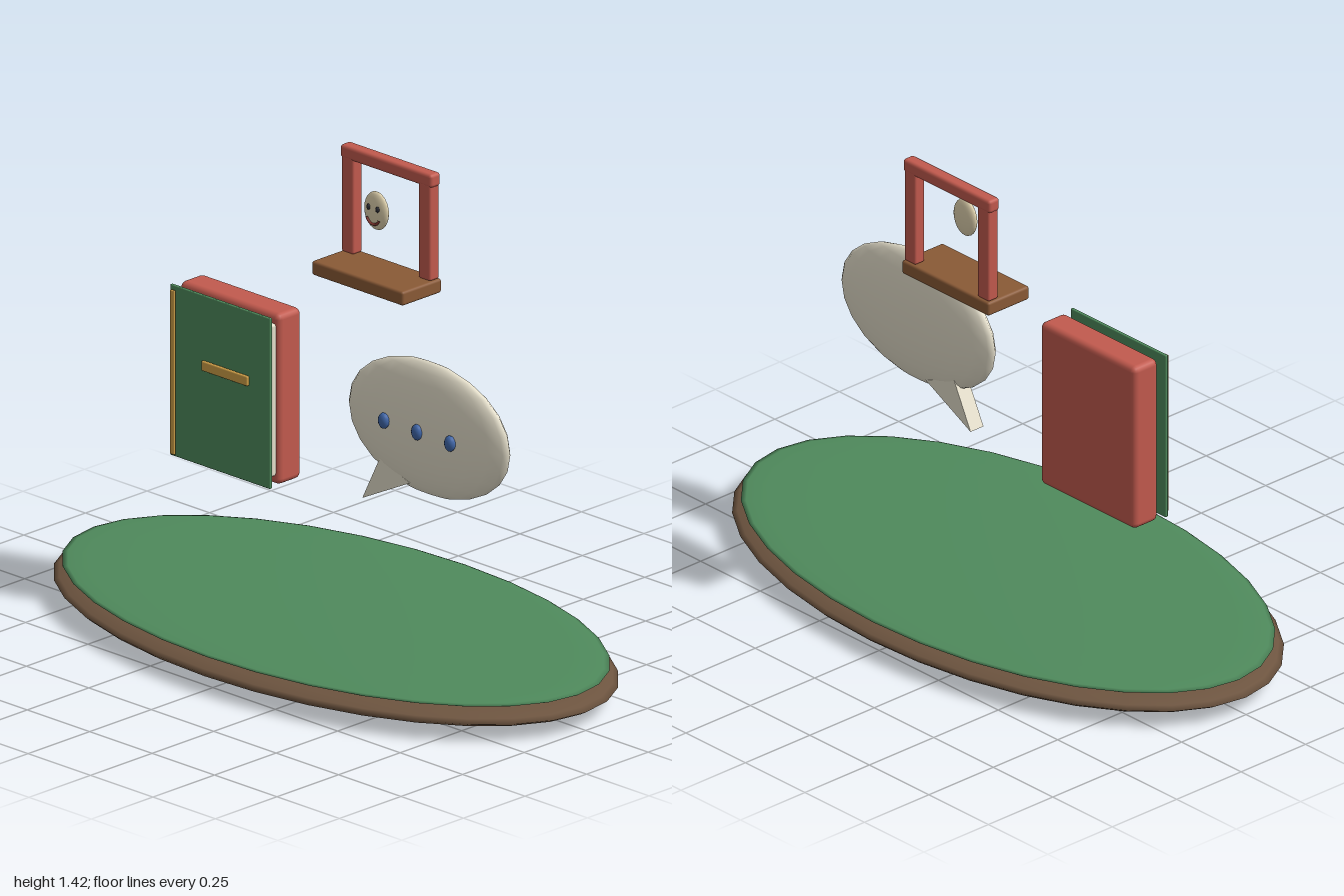
import * as THREE from 'three';
import { RoundedBoxGeometry } from 'three/addons/geometries/RoundedBoxGeometry.js';

const mat = (color) => new THREE.MeshStandardMaterial({ color });

export function createModel() {
  const model = new THREE.Group();
  const red = mat(0xc25a4e), green = mat(0x4f8a5c), wood = mat(0x8a5a36), earth = mat(0x6e5540);
  const cream = mat(0xe6e0cc), paleSkin = mat(0xe0d2ae), gold = mat(0xd0a048), blue = mat(0x3f66a8);
  const dark = mat(0x2b2b33), mouthRed = mat(0x8a3a34);

  const group = (name) => {
    const g = new THREE.Group();
    g.name = name;
    model.add(g);
    return g;
  };
  const add = (parent, name, geometry, material, x = 0, y = 0, z = 0) => {
    const mesh = new THREE.Mesh(geometry, material);
    mesh.name = name;
    mesh.position.set(x, y, z);
    parent.add(mesh);
    return mesh;
  };
  // Box given by its lower and upper limits
  const box = (parent, name, material, [x0, x1], [y0, y1], [z0, z1], r = 0) => {
    const size = [x1 - x0, y1 - y0, z1 - z0];
    const geo = r ? new RoundedBoxGeometry(...size, 2, r) : new THREE.BoxGeometry(...size);
    return add(parent, name, geo, material, (x0 + x1) / 2, (y0 + y1) / 2, (z0 + z1) / 2);
  };
  // Sphere stretched to three radii
  const ellipsoid = (parent, name, material, pos, radii, w = 24, h = 12) => {
    const mesh = add(parent, name, new THREE.SphereGeometry(1, w, h), material, ...pos);
    mesh.scale.set(...radii);
    return mesh;
  };

  // Oval island
  const island = group('island');
  ellipsoid(island, 'earthBase', earth, [0, 0.06, 0], [1, 0.055, 0.545], 32, 16);
  ellipsoid(island, 'grassTop', green, [0, 0.105, 0], [0.97, 0.019, 0.525], 32, 16);

  // Book
  const book = group('book');
  box(book, 'backCover', red, [-0.58, -0.18], [0.45, 0.97], [-0.045, 0.05], 0.018);
  box(book, 'pages', cream, [-0.54, -0.19], [0.478, 0.942], [0.047, 0.069], 0.008);
  box(book, 'frontCover', green, [-0.58, -0.18], [0.45, 0.97], [0.076, 0.086], 0.003);
  box(book, 'spineStrip', gold, [-0.568, -0.55], [0.46, 0.96], [0.092, 0.1], 0.003);
  box(book, 'titleBar', gold, [-0.445, -0.26], [0.745, 0.775], [0.087, 0.098], 0.004);

  // Speech bubble with a wedge tail and three dots
  const bubble = group('speechBubble');
  ellipsoid(bubble, 'bubbleBody', cream, [0.375, 0.762, 0], [0.323, 0.203, 0.05], 20, 12);
  const tail = new THREE.Shape([
    new THREE.Vector2(0.13, 0.49), new THREE.Vector2(0.32, 0.585), new THREE.Vector2(0.2, 0.63),
  ]);
  const tailGeo = new THREE.ExtrudeGeometry(tail, { depth: 0.05, bevelEnabled: false });
  add(bubble, 'bubbleTail', tailGeo, cream, 0, 0, -0.025);
  for (const x of [0.242, 0.375, 0.507]) {
    ellipsoid(bubble, 'dot', blue, [x, 0.762, 0.052], [0.019, 0.024, 0.014], 12, 8);
  }

  // Window frame on a sill
  const frame = group('windowFrame');
  box(frame, 'sill', wood, [-0.183, 0.183], [1.057, 1.1], [-0.245, -0.085], 0.008);
  box(frame, 'lintel', red, [-0.183, 0.183], [1.384, 1.425], [-0.241, -0.2], 0.01);
  for (const s of [-1, 1]) {
    const post = box(frame, 'post', red, [0.13, 0.178], [1.1, 1.395], [-0.24, -0.201], 0.007);
    post.position.x *= s;
  }

  // Small smiling face
  const face = group('face');
  ellipsoid(face, 'head', paleSkin, [0, 1.28, -0.165], [0.047, 0.058, 0.016], 20, 12);
  for (const s of [-1, 1]) {
    ellipsoid(face, 'eye', dark, [s * 0.018, 1.291, -0.15], [0.007, 0.009, 0.005], 10, 8);
  }
  const smile = new THREE.TorusGeometry(0.026, 0.004, 6, 14, Math.PI * 0.8);
  smile.rotateZ(Math.PI * 1.1);
  add(face, 'smile', smile, mouthRed, 0, 1.268, -0.15);

  return model;
}
